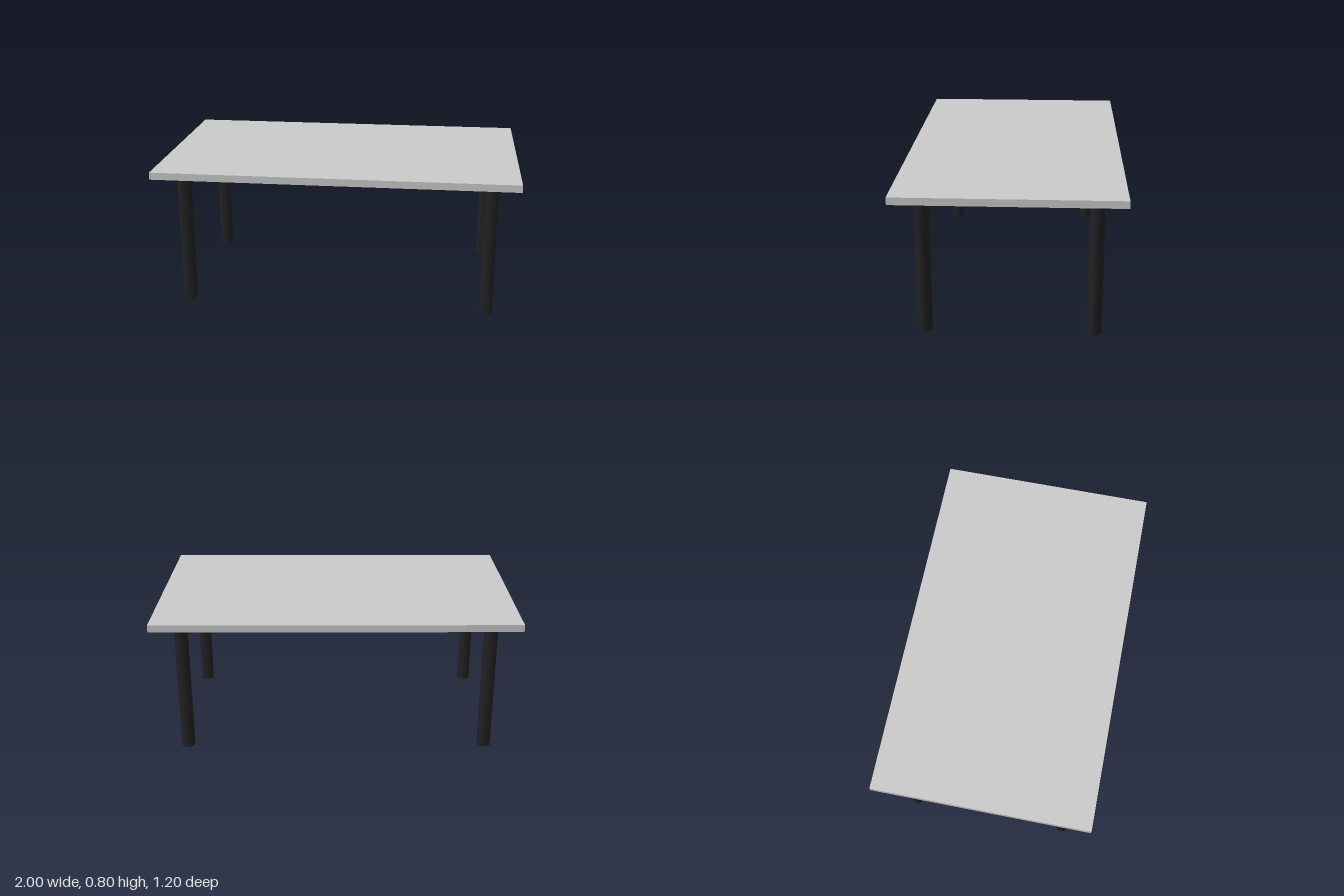
import * as THREE from 'three';

export function createModel() {
  const table = new THREE.Group();
  table.name = 'table';

  const grey = new THREE.MeshStandardMaterial({ color: 0xcccccc });
  const black = new THREE.MeshStandardMaterial({ color: 0x222224 });

  const add = (parent, name, geometry, material, y) => {
    const mesh = new THREE.Mesh(geometry, material);
    mesh.name = name;
    mesh.position.y = y;
    parent.add(mesh);
  };

  // Table top
  const topThickness = 0.04, topBottom = 0.76;
  add(table, 'tableTop', new THREE.BoxGeometry(2, topThickness, 1.2), grey, topBottom + topThickness / 2);

  // Six-sided legs, each with a thin mounting plate under the top
  const plateHeight = 0.01, legHeight = topBottom - plateHeight;
  const legGeometry = new THREE.CylinderGeometry(0.04, 0.04, legHeight, 6);
  const plateGeometry = new THREE.CylinderGeometry(0.06, 0.06, plateHeight, 6);

  for (const [sx, side] of [[1, 'Left'], [-1, 'Right']]) {
    for (const [sz, end] of [[1, 'front'], [-1, 'back']]) {
      const leg = new THREE.Group();
      leg.name = `${end}${side}Leg`;
      leg.position.set(sx * 0.85, 0, sz * 0.45);
      add(leg, 'legPost', legGeometry, black, legHeight / 2);
      add(leg, 'mountingPlate', plateGeometry, black, topBottom - plateHeight / 2);
      table.add(leg);
    }
  }

  return table;
}
